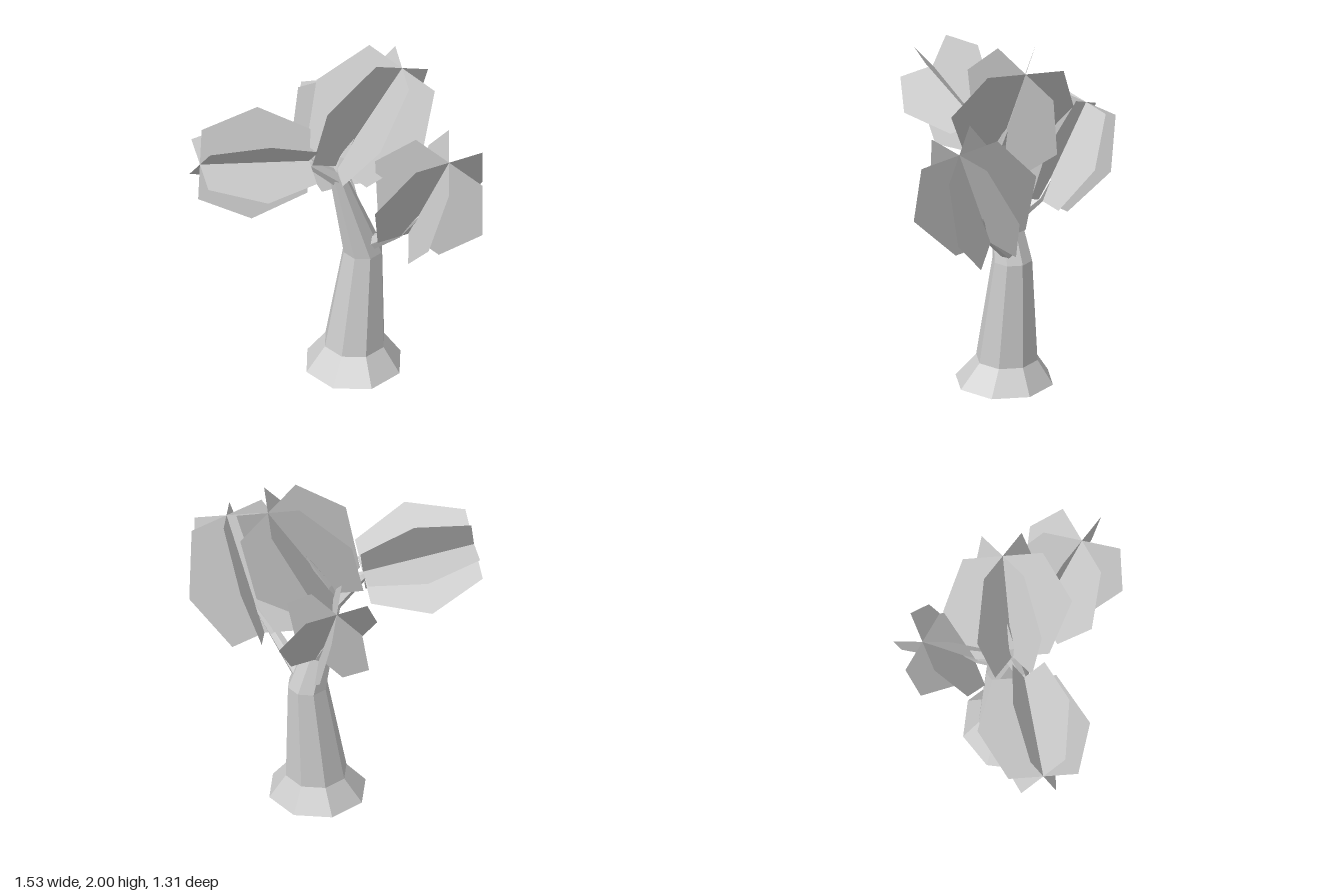
import * as THREE from 'three';

const V = (p) => new THREE.Vector3(...p);
const UP = new THREE.Vector3(0, 1, 0);
const material = new THREE.MeshStandardMaterial({
  color: 0xcccccc, flatShading: true, side: THREE.DoubleSide,
});

function makeMesh(name, positions, indices) {
  const indexed = new THREE.BufferGeometry();
  indexed.setAttribute('position', new THREE.Float32BufferAttribute(positions, 3));
  indexed.setIndex(indices);
  const geometry = indexed.toNonIndexed();
  geometry.computeVertexNormals();
  const mesh = new THREE.Mesh(geometry, material);
  mesh.name = name;
  return mesh;
}

// Faceted limb lofted through rings given as [x, y, z, radius]
function limb(name, rings, sides, level = false) {
  const centres = rings.map((r) => V(r.slice(0, 3)));
  const positions = [], indices = [];
  rings.forEach((ring, i) => {
    const next = centres[Math.min(i + 1, rings.length - 1)];
    const prev = centres[Math.max(i - 1, 0)];
    const direction = level ? UP : next.clone().sub(prev).normalize();
    const turn = new THREE.Quaternion().setFromUnitVectors(UP, direction);
    for (let k = 0; k < sides; k++) {
      const a = (k / sides) * Math.PI * 2;
      const p = new THREE.Vector3(Math.sin(a), 0, Math.cos(a))
        .multiplyScalar(ring[3]).applyQuaternion(turn).add(centres[i]);
      positions.push(p.x, p.y, p.z);
      if (i === rings.length - 1) continue;
      const k2 = (k + 1) % sides, lo = i * sides, hi = lo + sides;
      indices.push(lo + k, lo + k2, hi + k2, lo + k, hi + k2, hi + k);
    }
  });
  return makeMesh(name, positions, indices);
}

// Three hexagonal sheets crossing at 60 degrees along the base-to-tip axis
function foliage(name, base, tip, spread, width) {
  const from = V(base), to = V(tip);
  const axis = to.clone().sub(from).normalize();
  const across = V(spread).projectOnPlane(axis).normalize();
  const group = new THREE.Group();
  group.name = name;
  for (let s = 0; s < 3; s++) {
    const side = across.clone().applyAxisAngle(axis, (s * Math.PI) / 3);
    const positions = [];
    for (const [t, w] of [[0, 0.57], [0.5, 1], [1, 0.62]]) {
      for (const sign of [-1, 1]) {
        const p = from.clone().lerp(to, t).addScaledVector(side, sign * w * width);
        positions.push(p.x, p.y, p.z);
      }
    }
    group.add(makeMesh('leafSheet', positions, [0, 1, 3, 0, 3, 2, 2, 3, 5, 2, 5, 4]));
  }
  return group;
}

export function createModel() {
  const tree = new THREE.Group();
  tree.name = 'tree';

  // Trunk with flared, open foot
  tree.add(limb('trunk', [
    [0.13, 0, -0.03, 0.27],
    [0.14, 0.135, -0.04, 0.17],
    [0.19, 0.73, -0.045, 0.11],
    [0.045, 1.25, -0.04, 0.047],
  ], 8, true));

  // Branches, each tapering to a point inside its foliage
  tree.add(limb('topBranch', [
    [0.045, 1.22, -0.04, 0.045], [0.08, 1.37, -0.045, 0.03], [0.2, 1.6, -0.06, 0.003],
  ], 6));
  tree.add(limb('rightBranch', [
    [0.06, 1.22, -0.04, 0.045], [-0.12, 1.38, -0.035, 0.027], [-0.24, 1.42, -0.03, 0.003],
  ], 6));
  tree.add(limb('frontBranch', [
    [0.21, 0.76, -0.03, 0.003], [0.22, 0.78, -0.01, 0.042],
    [0.31, 0.95, 0.17, 0.032], [0.41, 1.11, 0.27, 0.006],
  ], 6));
  tree.add(limb('backBranch', [
    [0.15, 0.93, -0.05, 0.04], [0.18, 1.04, -0.22, 0.025], [0.18, 1.16, -0.31, 0.003],
  ], 6));

  // Foliage clumps
  tree.add(foliage('topFoliage', [0.04, 1.31, -0.05], [0.4, 1.9, -0.005], [0.07, -0.015, -0.34], 0.347));
  tree.add(foliage('rightFoliage', [-0.125, 1.405, -0.03], [-0.73, 1.5, -0.09], [0.055, 0.288, -0.1], 0.31));
  tree.add(foliage('frontFoliage', [0.36, 0.94, 0.19], [0.49, 1.565, 0.46], [0.34, -0.04, -0.08], 0.35));
  tree.add(foliage('backFoliage', [0.18, 1.03, -0.225], [0.17, 1.535, -0.515], [0.285, -0.01, -0.03], 0.287));

  return tree;
}
